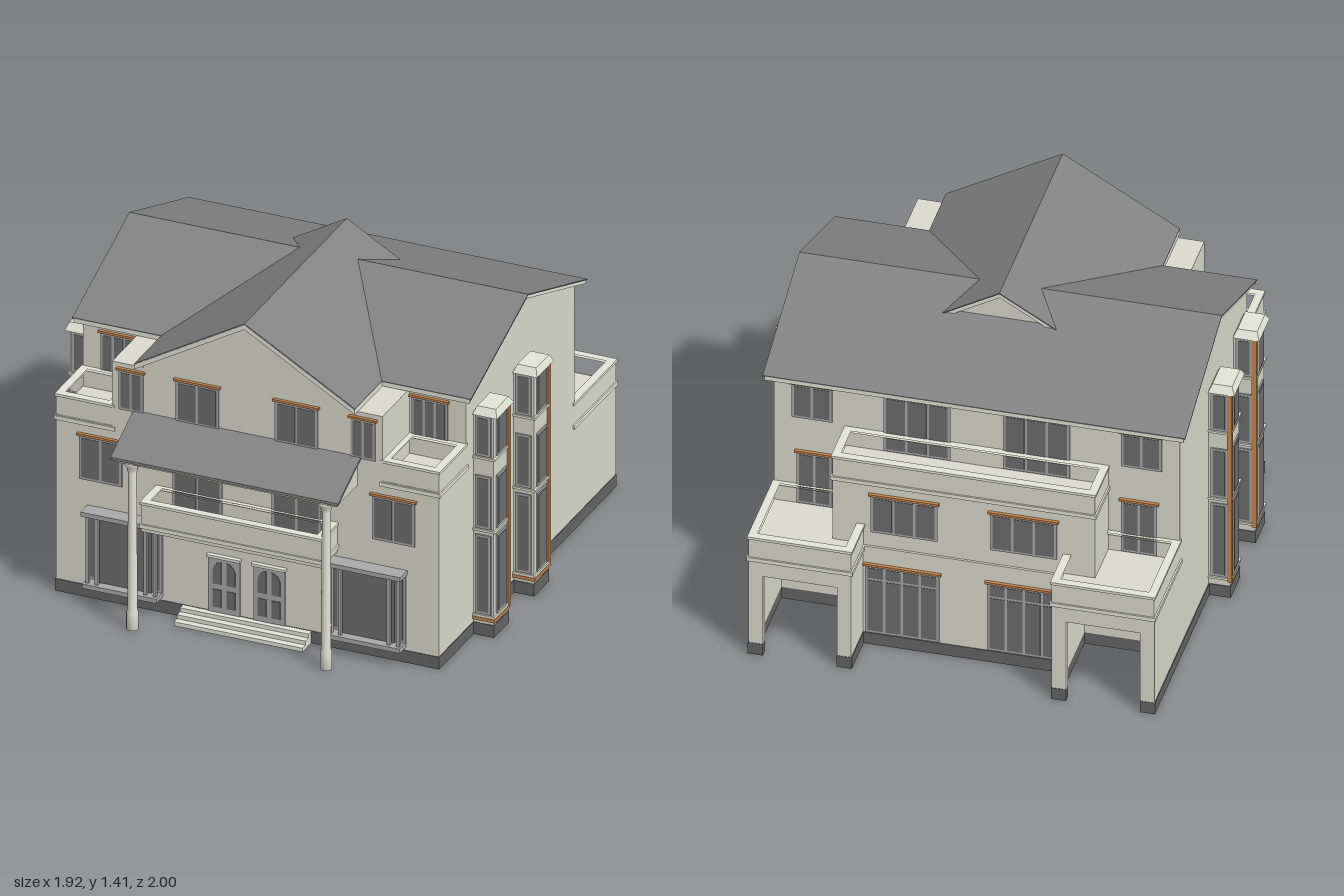
import * as THREE from 'three';

const mat = (color, side = THREE.FrontSide) => new THREE.MeshStandardMaterial({ color, side });
const WALL = mat(0xdadbcd), TRIM = mat(0xe4e5d8), ROOF = mat(0x828282), BASE = mat(0x666666);
const GLASS = mat(0x6e6e6e), FRAME = mat(0xa9a9a9), WOOD = mat(0xc4854e);

function add(parent, name, geo, material) {
  const m = new THREE.Mesh(geo, material);
  m.name = name;
  parent.add(m);
  return m;
}

// Box given by its limits on each axis
function box(parent, name, x0, x1, y0, y1, z0, z1, material) {
  const g = new THREE.BoxGeometry(Math.abs(x1 - x0), y1 - y0, Math.abs(z1 - z0));
  g.translate((x0 + x1) / 2, (y0 + y1) / 2, (z0 + z1) / 2);
  return add(parent, name, g, material);
}

const shapeOf = pts => new THREE.Shape(pts.map(p => new THREE.Vector2(...p)));
const extrude = (shape, depth) => new THREE.ExtrudeGeometry(shape, { depth, bevelEnabled: false, curveSegments: 10 });

// (x, y) outline extruded from z0 to z1
function prismZ(parent, name, pts, z0, z1, material) {
  return add(parent, name, extrude(shapeOf(pts), z1 - z0).translate(0, 0, z0), material);
}

// (z, y) outline extruded across x, centred
function prismX(parent, name, pts, half, material) {
  const g = extrude(shapeOf(pts), half * 2).rotateY(-Math.PI / 2).translate(half, 0, 0);
  return add(parent, name, g, material);
}

// Sloped sheet outline: the line through pts, thickened downward
const sheet = (pts, top, bottom) => [
  ...pts.map(([a, y]) => [a, y - top]),
  ...pts.slice().reverse().map(([a, y]) => [a, y - bottom])];

// Rectangular parapet ring with coping and a projecting band at its foot
function parapet(parent, name, x0, x1, z0, z1, y0, y1) {
  const g = new THREE.Group();
  g.name = name;
  const ring = (out, t, a, b, material) => {
    const rect = (C, d) => new C([[x0 - d, z0 - d], [x1 + d, z0 - d], [x1 + d, z1 + d], [x0 - d, z1 + d]]
      .map(p => new THREE.Vector2(p[0], -p[1])));
    const s = rect(THREE.Shape, out);
    s.holes.push(rect(THREE.Path, out - t));
    add(g, 'parapetRing', extrude(s, b - a).rotateX(-Math.PI / 2).translate(0, a, 0), material);
  };
  ring(0, 0.025, y0, y1 - 0.012, WALL);
  ring(0.005, 0.035, y1 - 0.012, y1, TRIM);
  ring(0.007, 0.03, y0 - 0.018, y0, TRIM);
  parent.add(g);
}

// Window facing +z, turned by angle; x, y0 are the bottom centre
function windowUnit(parent, name, x, y0, z, w, h, { panes = 2, angle = 0, lintel = WOOD, rail = 0 } = {}) {
  const g = new THREE.Group();
  g.name = name;
  g.position.set(x, y0, z);
  g.rotation.y = angle;
  box(g, 'windowFrame', -w / 2, w / 2, 0, h, -0.004, 0.006, FRAME);
  const b = 0.011, pw = (w - b * (panes + 1)) / panes;
  for (let i = 0; i < panes; i++) {
    const px = -w / 2 + b + i * (pw + b);
    box(g, 'pane', px, px + pw, b, h - b - rail, 0, 0.008, GLASS);
    if (rail) box(g, 'transom', px, px + pw, h - rail, h - b, 0, 0.008, GLASS);
  }
  if (lintel) box(g, 'lintel', -w / 2 - 0.008, w / 2 + 0.008, h, h + 0.01, 0, 0.015, lintel);
  parent.add(g);
}

// Door pair with arched upper lights
function door(parent, x) {
  const g = new THREE.Group();
  g.name = 'frontDoor';
  g.position.set(x, 0.055, 0.77);
  box(g, 'doorFrame', -0.07, 0.07, 0, 0.25, 0, 0.008, FRAME);
  box(g, 'doorHead', -0.075, 0.075, 0.25, 0.262, 0, 0.02, TRIM);
  for (const s of [-1, 1]) {
    const pts = [[0.012, 0.13], [0.05, 0.13], [0.05, 0.195], [0.042, 0.215], [0.028, 0.228], [0.012, 0.233]]
      .map(([a, y]) => [a * s, y]);
    prismZ(g, 'archedLight', pts, 0.004, 0.011, GLASS);
    box(g, 'lowerLight', s * 0.012, s * 0.05, 0.025, 0.105, 0.004, 0.011, GLASS);
  }
  parent.add(g);
}

// Tall glazed bay on the side wall
function sideBay(parent, s, z) {
  const g = new THREE.Group();
  g.name = 'sideBay';
  const x0 = 0.85, x1 = 0.94, zc = z, hw = 0.072;
  box(g, 'bayBase', s * x0, s * (x1 + 0.003), 0, 0.055, zc - hw - 0.003, zc + hw + 0.003, BASE);
  box(g, 'bayShaft', s * x0, s * x1, 0.055, 1.01, zc - hw, zc + hw, WALL);
  for (const [y, h] of [[0.1, 0.36], [0.49, 0.24], [0.82, 0.185]]) {
    windowUnit(g, 'baySideWindow', s * x1, y, zc, 0.095, h, { panes: 1, angle: s * Math.PI / 2, lintel: null });
    windowUnit(g, 'bayFrontWindow', s * 0.895, y, zc + hw, 0.07, h, { panes: 1, lintel: null });
    windowUnit(g, 'bayBackWindow', s * 0.895, y, zc - hw, 0.07, h, { panes: 1, angle: Math.PI, lintel: null });
    box(g, 'baySill', s * x0, s * (x1 + 0.008), y - 0.014, y - 0.004, zc - hw - 0.008, zc + hw + 0.008, TRIM);
  }
  box(g, 'cornerStrip', s * (x1 - 0.012), s * (x1 + 0.009), 0.08, 1.01, zc - hw - 0.009, zc - hw + 0.012, WOOD);
  if (s > 0) box(g, 'footStrip', x0, x1 + 0.009, 0.07, 0.085, zc - hw, zc + hw + 0.009, WOOD);
  // Tapered cap
  const cap = new THREE.BoxGeometry(0.11, 0.033, 0.17), p = cap.attributes.position;
  for (let i = 0; i < p.count; i++) {
    if (p.getY(i) > 0) { p.setX(i, p.getX(i) * 0.75); p.setZ(i, p.getZ(i) * 0.75); }
  }
  cap.computeVertexNormals();
  add(g, 'bayCap', cap, TRIM).position.set(s * 0.905, 1.023, zc);
  parent.add(g);
}

// Glazed box window on the ground floor
function boxWindow(parent, s) {
  const g = new THREE.Group();
  g.name = 'boxWindow';
  g.position.set(s * 0.54, 0, 0.77);
  box(g, 'boxWindowSill', -0.165, 0.165, 0.07, 0.09, 0, 0.065, FRAME);
  box(g, 'boxWindowTop', -0.17, 0.17, 0.4, 0.42, 0, 0.07, FRAME);
  box(g, 'boxWindowGlass', -0.125, 0.125, 0.09, 0.4, 0, 0.025, GLASS);
  for (const t of [-1, 1]) for (const x of [0.15, 0.108]) {
    box(g, 'boxWindowPost', t * x - 0.007, t * x + 0.007, 0.09, 0.4, 0.035, 0.05, FRAME);
  }
  for (const t of [-1, 1]) windowUnit(g, 'boxWindowSideLight', t * 0.145, 0.09, 0.002, 0.04, 0.31, { panes: 1, lintel: null });
  parent.add(g);
}

// Open rear carport with a terrace on top
function carport(parent, s) {
  const g = new THREE.Group();
  g.name = 'carport';
  const a = 0.42, b = 0.85;
  box(g, 'outerWall', s * (b - 0.03), s * b, 0.055, 0.48, -0.985, -0.57, WALL);
  box(g, 'innerWall', s * a, s * (a + 0.03), 0.055, 0.48, -0.985, -0.57, WALL);
  box(g, 'terraceSlab', s * a, s * b, 0.44, 0.485, -0.985, -0.57, WALL);
  box(g, 'rearBeam', s * a, s * b, 0.39, 0.48, -0.99, -0.955, WALL);
  for (const [l, r] of [[a, a + 0.06], [b - 0.06, b]]) {
    box(g, 'rearPier', s * l, s * r, 0.055, 0.39, -0.99, -0.955, WALL);
    box(g, 'pierFoot', s * l, s * r, 0, 0.055, -0.992, -0.955, BASE);
  }
  box(g, 'outerPlinth', s * (b - 0.03), s * (b + 0.003), 0, 0.055, -0.992, -0.57, BASE);
  box(g, 'innerPlinth', s * (a - 0.003), s * (a + 0.03), 0, 0.055, -0.992, -0.57, BASE);
  parapet(g, 'terraceParapet', s > 0 ? a : -b, s > 0 ? b : -a, -0.992, -0.57, 0.48, 0.58);
  parent.add(g);
}

export function createModel() {
  const house = new THREE.Group();
  house.name = 'house';

  // Main walls and plinth
  box(house, 'plinth', -0.853, 0.853, 0, 0.055, -0.58, 0.773, BASE);
  box(house, 'rearPlinth', -0.42, 0.42, 0, 0.055, -0.803, -0.58, BASE);
  box(house, 'lowerWalls', -0.85, 0.85, 0.055, 0.805, -0.58, 0.77, WALL);
  prismX(house, 'upperWalls', [[-0.58, 0.8], [0.5, 0.8], [0.5, 1.115], [-0.04, 1.312], [-0.58, 1.115]], 0.85, WALL);
  box(house, 'frontBlock', -0.6, 0.6, 0.8, 1.1, 0.49, 0.77, WALL);
  prismZ(house, 'frontGable', [[-0.46, 0.8], [0.46, 0.8], [0.46, 1.118], [0, 1.39], [-0.46, 1.118]], -0.2, 0.772, WALL);
  box(house, 'rearBlockGround', -0.42, 0.42, 0.055, 0.48, -0.8, -0.57, WALL);
  box(house, 'rearBlockUpper', -0.55, 0.55, 0.48, 0.805, -0.79, -0.57, WALL);

  // Roofs: pale sheet with a dark skin
  const main = [[0.53, 1.125], [-0.04, 1.335], [-0.63, 1.125]];
  const cross = [[0.49, 1.125], [0, 1.41], [-0.49, 1.125]];
  prismX(house, 'mainRoofSoffit', sheet(main, 0.004, 0.022), 0.878, TRIM);
  prismX(house, 'mainRoof', sheet(main, 0, 0.005), 0.885, ROOF);
  prismZ(house, 'gableRoofSoffit', sheet(cross, 0.004, 0.026), -0.215, 0.8, TRIM);
  prismZ(house, 'gableRoof', sheet(cross, 0, 0.005), -0.22, 0.798, ROOF);

  // Portico: roof, columns, balcony and steps
  prismX(house, 'porticoWedge', [[0.76, 0.765], [0.985, 0.765], [0.985, 0.783], [0.76, 0.89]], 0.49, WALL);
  prismX(house, 'porticoRoof', [[0.76, 0.89], [1, 0.778], [1, 0.79], [0.76, 0.902]], 0.505, ROOF);
  const column = [[0, 0], [0.025, 0], [0.025, 0.08], [0.02, 0.09], [0.021, 0.2], [0.017, 0.715], [0.022, 0.725],
    [0.022, 0.735], [0.034, 0.752], [0.034, 0.766], [0, 0.766]].map(p => new THREE.Vector2(...p));
  for (const s of [-1, 1]) add(house, 'column', new THREE.LatheGeometry(column, 20), TRIM).position.set(s * 0.43, 0, 0.95);
  box(house, 'balconyDeck', -0.4, 0.4, 0.44, 0.475, 0.76, 0.93, WALL);
  parapet(house, 'balconyParapet', -0.4, 0.4, 0.76, 0.93, 0.475, 0.575);
  for (let i = 0; i < 3; i++) box(house, 'step', -0.285, 0.285, i * 0.018, (i + 1) * 0.018, 0.76, 0.86 - i * 0.03, TRIM);

  // Rear roof terrace
  parapet(house, 'rearTerraceParapet', -0.55, 0.55, -0.795, -0.58, 0.8, 0.9);

  for (const s of [-1, 1]) {
    parapet(house, 'cornerBalcony', s > 0 ? 0.595 : -0.85, s > 0 ? 0.85 : -0.595, 0.495, 0.768, 0.8, 0.9);
    carport(house, s);
    boxWindow(house, s);
    door(house, s * 0.1);
    for (const z of [0.355, -0.045]) sideBay(house, s, z);

    // Front windows
    windowUnit(house, 'topCornerWindow', s * 0.69, 0.89, 0.5, 0.16, 0.18, { panes: 3 });
    windowUnit(house, 'topSmallWindow', s * 0.515, 0.89, 0.77, 0.11, 0.18);
    windowUnit(house, 'topMiddleWindow', s * 0.22, 0.89, 0.772, 0.19, 0.185);
    windowUnit(house, 'middleOuterWindow', s * 0.65, 0.535, 0.77, 0.19, 0.2);
    windowUnit(house, 'middleInnerWindow', s * 0.22, 0.49, 0.77, 0.22, 0.25);

    // Rear windows
    const back = { angle: Math.PI };
    windowUnit(house, 'rearTopOuterWindow', s * 0.69, 0.91, -0.58, 0.17, 0.165, back);
    windowUnit(house, 'rearTopInnerDoor', s * 0.25, 0.81, -0.58, 0.28, 0.27, { ...back, panes: 3 });
    windowUnit(house, 'rearTerraceDoor', s * 0.68, 0.49, -0.58, 0.15, 0.25, back);
    windowUnit(house, 'rearMiddleWindow', s * 0.25, 0.55, -0.79, 0.28, 0.18, { ...back, panes: 3 });
    windowUnit(house, 'rearGroundDoor', s * 0.255, 0.06, -0.8, 0.31, 0.33, { ...back, panes: 4, rail: 0.06 });
  }
  return house;
}
